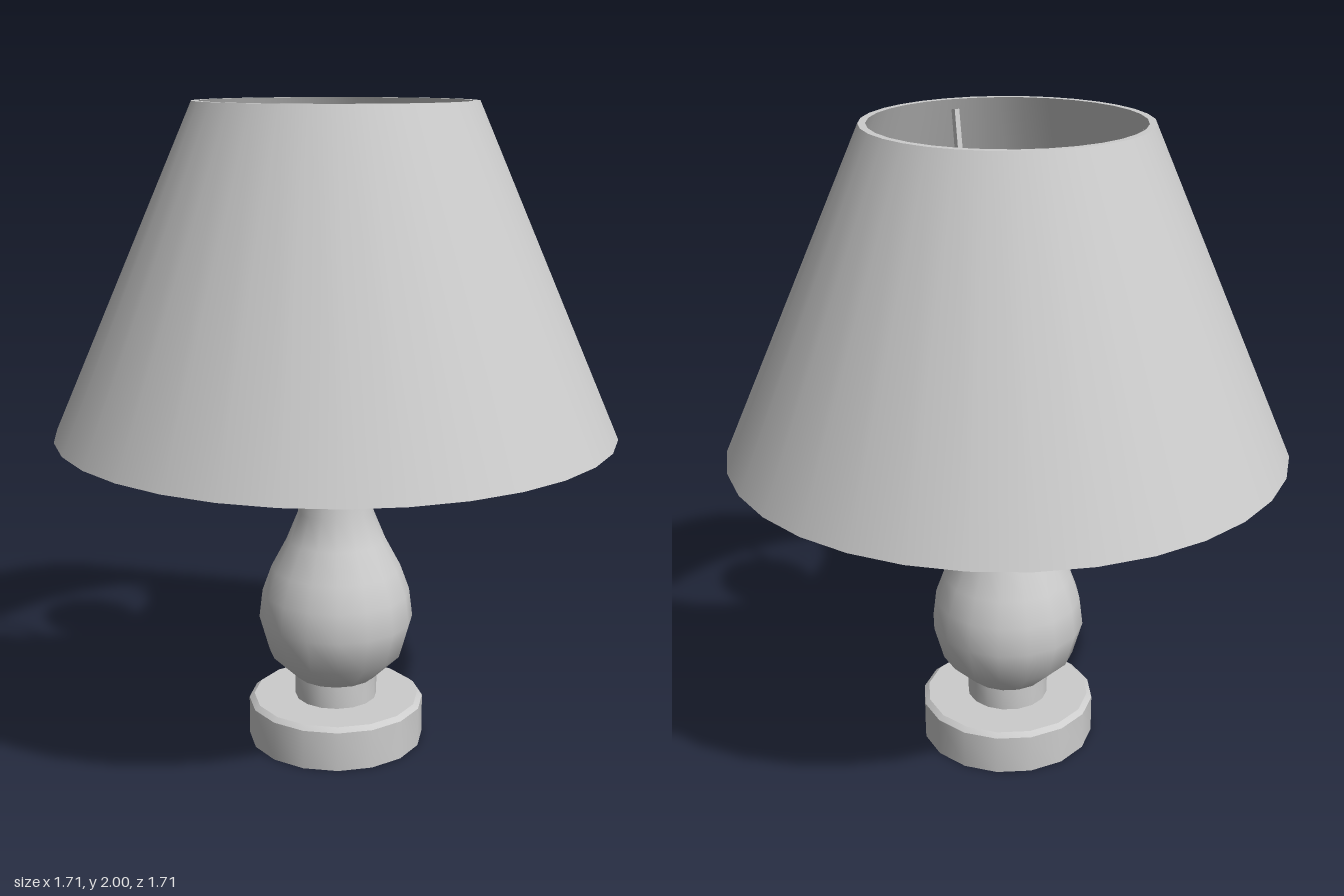
import * as THREE from 'three';
import { toCreasedNormals } from 'three/addons/utils/BufferGeometryUtils.js';

export function createModel() {
  const model = new THREE.Group();
  model.name = 'tableLamp';
  const grey = new THREE.MeshStandardMaterial({ color: 0xcccccc });
  grey.name = 'lightGrey';

  // Turned part from a profile of [radius, height], running up the outside
  const turned = (name, profile, sides, crease = 0.6) => {
    const points = profile.map(([r, y]) => new THREE.Vector2(r, y));
    const mesh = new THREE.Mesh(toCreasedNormals(new THREE.LatheGeometry(points, sides), crease), grey);
    mesh.name = name;
    model.add(mesh);
  };

  // Round foot with a small bevel
  turned('base', [[0, 0], [0.278, 0], [0.278, 0.125], [0.262, 0.138], [0, 0.138]], 16);

  // Vase-shaped stem
  turned('stem', [
    [0.13, 0.13], [0.13, 0.21], [0.212, 0.29], [0.243, 0.4], [0.232, 0.49],
    [0.203, 0.57], [0.155, 0.66], [0.118, 0.75], [0.113, 0.91],
  ], 16, 0.7);

  // Collar that carries the shade arms
  turned('collar', [[0.113, 0.905], [0.15, 0.95], [0.15, 1.06], [0, 1.06]], 16);

  // Bulb holder and bulb
  turned('socket', [[0.108, 1.05], [0.108, 1.27], [0.096, 1.3], [0, 1.3]], 16);
  const bulb = [[0.095, 1.29], [0.1, 1.36], [0.122, 1.45], [0.146, 1.54]];
  for (let i = 0; i <= 8; i++) {
    const a = -0.3 + (i / 8) * (Math.PI / 2 + 0.3);
    bulb.push([Math.max(0, 0.165 * Math.cos(a)), 1.66 + 0.165 * Math.sin(a)]);
  }
  turned('bulb', bulb, 24, 0.8);

  // Hollow conical shade
  turned('shade', [[0.855, 1.015], [0.422, 2], [0.4, 2], [0.833, 1.015], [0.855, 1.015]], 32);

  // Thin bar between two points
  const bar = (from, to, r0, r1) => {
    const dir = to.clone().sub(from);
    const mesh = new THREE.Mesh(
      toCreasedNormals(new THREE.CylinderGeometry(r1, r0, dir.length(), 4), 0.5), grey);
    mesh.position.copy(from).addScaledVector(dir, 0.5);
    mesh.quaternion.setFromUnitVectors(new THREE.Vector3(0, 1, 0), dir.normalize());
    return mesh;
  };

  // Three bent arms from the collar to the top of the shade
  for (const degrees of [59.5, 171, 305]) {
    const a = THREE.MathUtils.degToRad(degrees);
    const at = (r, y) => new THREE.Vector3(r * Math.cos(a), y, r * Math.sin(a));
    const arm = new THREE.Group();
    arm.name = 'shadeArm';
    arm.add(bar(at(0.1, 1.04), at(0.228, 1.085), 0.02, 0.016));
    arm.add(bar(at(0.222, 1.075), at(0.398, 1.97), 0.016, 0.012));
    model.add(arm);
  }
  return model;
}
